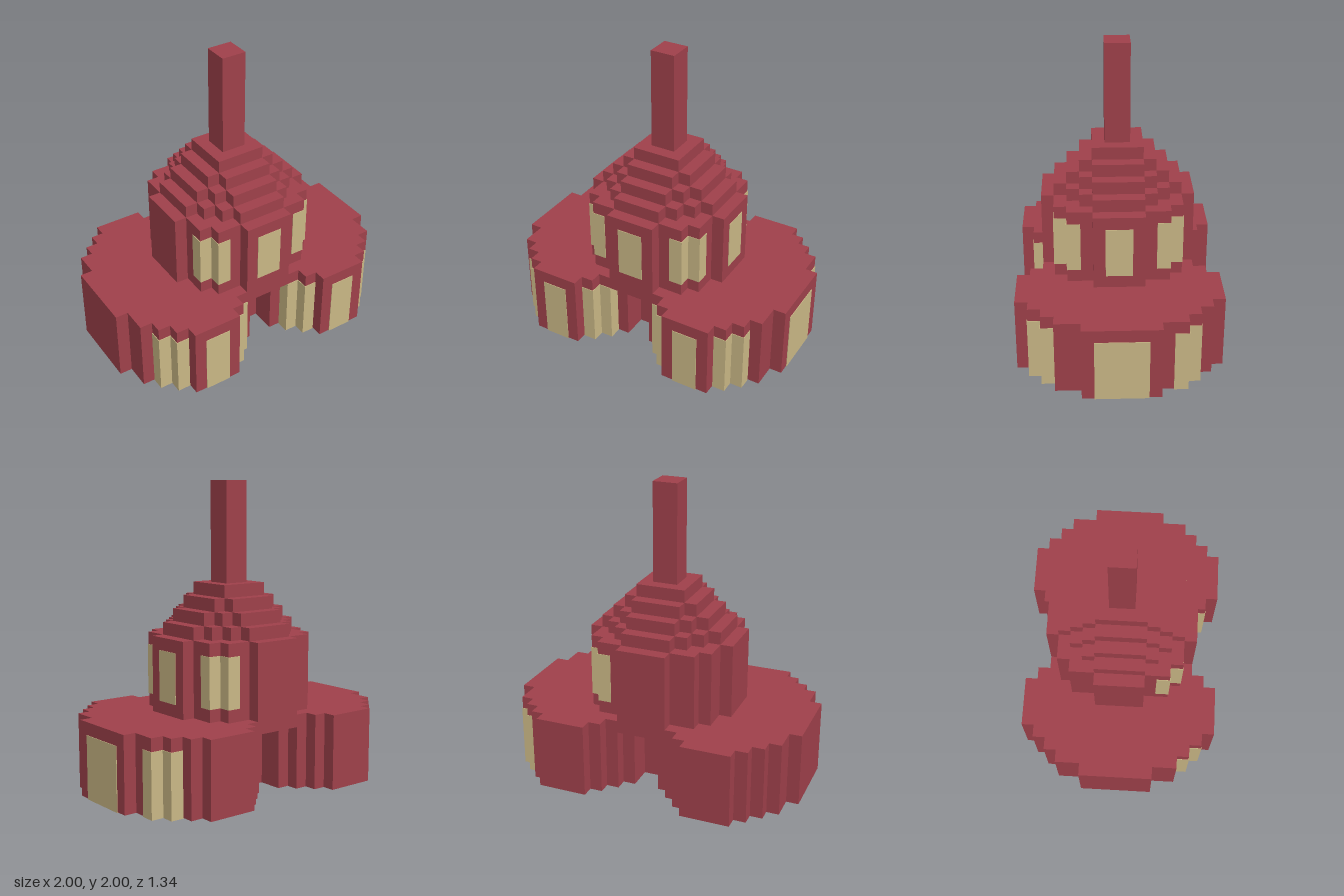
import * as THREE from 'three';

const U = 1 / 12; // side of one building block
const SKIN = 0.004; // how far window panes stand proud of the walls

const brick = new THREE.MeshStandardMaterial({ color: 0x9e404a });
brick.name = 'brick red';
const glass = new THREE.MeshStandardMaterial({ color: 0xc9b785 });
glass.name = 'window yellow';

// Stepped round outline, from the corners [halfX, halfZ] of one quadrant
function steppedShape(corners) {
  const q = [];
  corners.forEach(([a, b], i) => {
    if (i > 0) q.push([a, corners[i - 1][1]]);
    q.push([a, b]);
  });
  const r = [...q].reverse();
  const all = [
    ...q,
    ...r.map(([x, y]) => [-x, y]),
    ...q.map(([x, y]) => [-x, -y]),
    ...r.map(([x, y]) => [x, -y]),
  ];
  return new THREE.Shape(all.map(([x, y]) => new THREE.Vector2(x * U, y * U)));
}

// Storey with a stepped outline, from height y0 to y1 in blocks
function storey(name, corners, y0, y1, x = 0) {
  const lift = y0 === 0 ? SKIN : 0; // leaves room for the panes' undersides
  const geo = new THREE.ExtrudeGeometry(steppedShape(corners), {
    depth: (y1 - y0) * U - lift,
    bevelEnabled: false,
  });
  geo.rotateX(-Math.PI / 2);
  const mesh = new THREE.Mesh(geo, brick);
  mesh.name = name;
  mesh.position.set(x * U, y0 * U + lift, 0);
  return mesh;
}

// Window made of columns [x0, x1, z0, z1], set into the wall
function windowGroup(name, columns, y0, y1) {
  const group = new THREE.Group();
  group.name = name;
  for (const [x0, x1, z0, z1] of columns) {
    const pane = new THREE.Mesh(
      new THREE.BoxGeometry((x1 - x0) * U + 2 * SKIN, (y1 - y0) * U, (z1 - z0) * U + 2 * SKIN),
      glass
    );
    pane.name = 'pane';
    pane.position.set(((x0 + x1) / 2) * U, ((y0 + y1) / 2) * U, ((z0 + z1) / 2) * U);
    group.add(pane);
  }
  return group;
}

const mirrorX = (columns) => columns.map(([x0, x1, z0, z1]) => [-x1, -x0, z0, z1]);

export function createModel() {
  const model = new THREE.Group();
  model.name = 'building';

  // Two round wings and the slab bridging the recesses between them
  const wing = [[6, 3], [5, 5], [4, 6], [3, 7], [2, 8]];
  model.add(storey('leftWing', wing, 0, 6, 6), storey('rightWing', wing, 0, 6, -6));
  model.add(storey('porchSlab', [[2, 6]], 5, 6));

  // Tower, stepped roof and mast
  model.add(storey('tower', [[6, 2], [5, 4], [4, 5], [2, 6]], 6, 12));
  const roof = [
    [[5, 2], [4, 3], [3, 4], [2, 5]],
    [[4, 2], [3, 3], [2, 4]],
    [[3, 2], [2, 3]],
    [[2, 2]],
  ];
  roof.forEach((corners, i) => model.add(storey('roofStep', corners, 12 + i, 13 + i)));
  model.add(storey('mast', [[1, 1]], 16, 24));

  // Wing windows: three on the front of each wing
  const wingFront = [
    ['innerWindow', [[2, 3, 5, 6], [3, 4, 6, 7]]],
    ['middleWindow', [[5, 7, 7, 8]]],
    ['outerWindow', [[9, 10, 5, 6], [8, 9, 6, 7]]],
  ];
  for (const [name, columns] of wingFront) {
    model.add(windowGroup(name, columns, 0, 5), windowGroup(name, mirrorX(columns), 0, 5));
  }
  // Left wing only: wide side window and rear corner window
  model.add(windowGroup('sideWindow', [[11, 12, -2, 2]], 0, 5));
  model.add(windowGroup('rearCornerWindow', [[10, 11, -5, -4], [9, 10, -6, -5]], 0, 5));

  // Tower windows on the front, the left side and three corners
  const corner = [[3, 4, 4, 5], [4, 5, 3, 4]];
  model.add(windowGroup('towerFrontWindow', [[-1, 1, 5, 6]], 7, 11));
  model.add(windowGroup('towerSideWindow', [[5, 6, -1, 1]], 7, 11));
  model.add(windowGroup('towerCornerWindow', corner, 7, 11));
  model.add(windowGroup('towerCornerWindow', mirrorX(corner), 7, 11));
  model.add(windowGroup('towerRearCornerWindow', [[3, 4, -5, -4], [4, 5, -4, -3]], 7, 11));

  return model;
}
